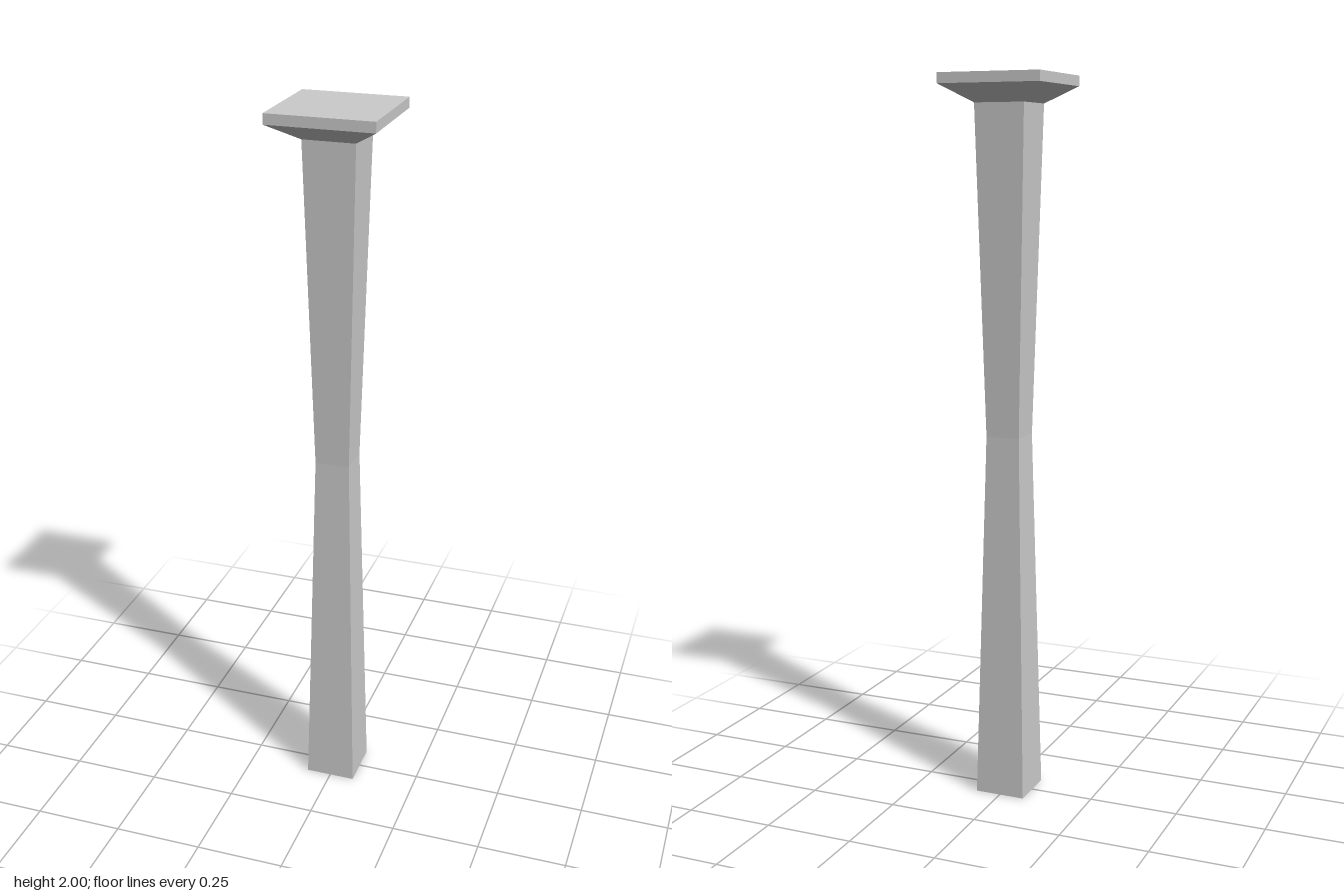
import * as THREE from 'three';

// Square-section solid from [halfWidth, y] pairs, listed bottom to top
function squareLathe(name, profile, material) {
  const points = profile.map(([half, y]) => new THREE.Vector2(half * Math.SQRT2, y));
  const mesh = new THREE.Mesh(new THREE.LatheGeometry(points, 4, Math.PI / 4), material);
  mesh.name = name;
  return mesh;
}

export function createModel() {
  const model = new THREE.Group();
  model.name = 'column';
  const material = new THREE.MeshStandardMaterial({
    color: 0xcccccc, flatShading: true, side: THREE.DoubleSide,
  });

  // Shaft narrows to a waist at mid height and is open underneath
  model.add(squareLathe('shaft', [[0.071, 0], [0.048, 1.03], [0.071, 1.925]], material));

  // Capital flares out to a thin flat slab
  model.add(squareLathe('capital', [[0.071, 1.925], [0.144, 1.972], [0.144, 2], [0, 2]], material));

  return model;
}
